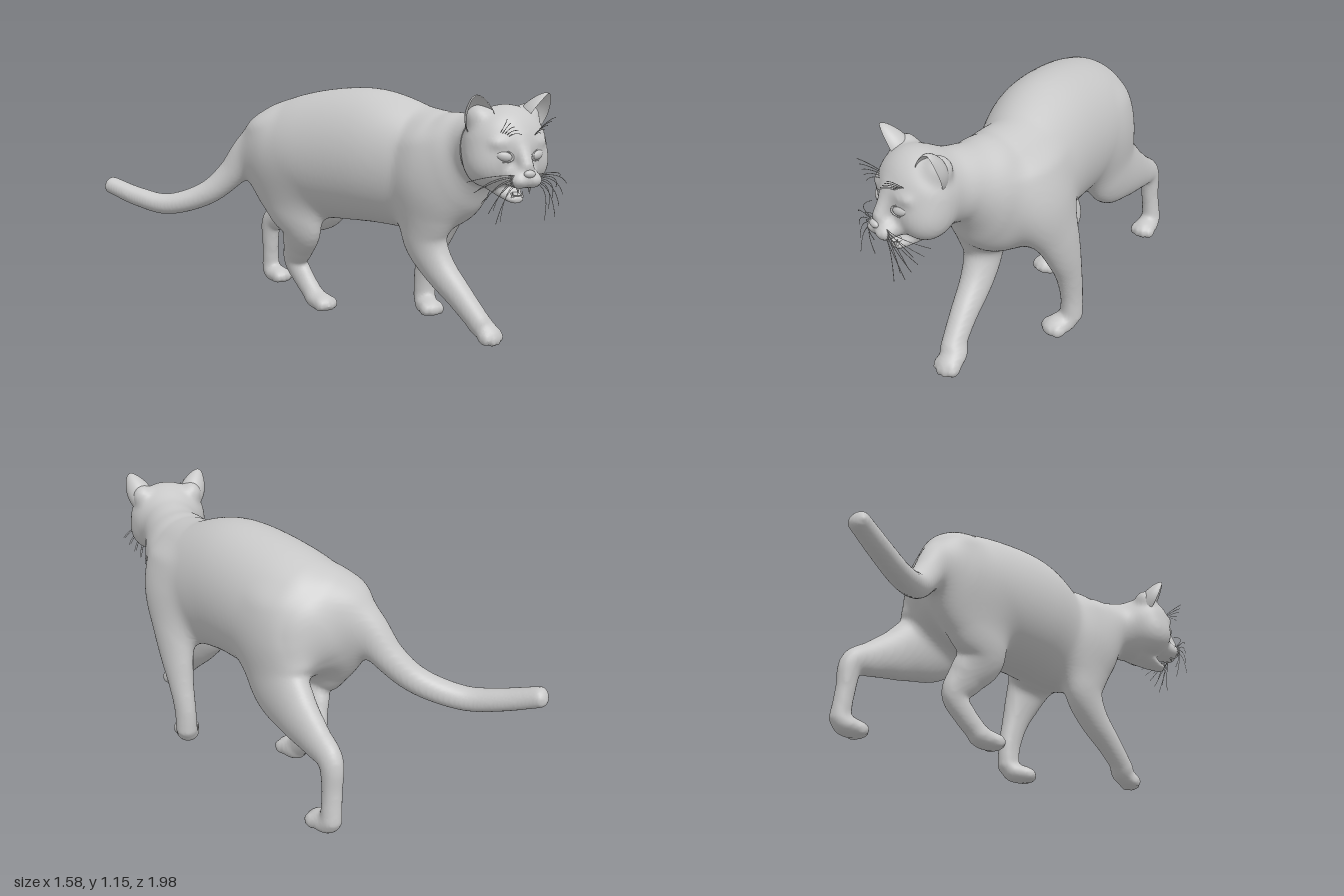
import * as THREE from 'three';

const V = (x, y, z) => new THREE.Vector3(x, y, z);
const fur = new THREE.MeshStandardMaterial({ color: 0xc8c8c8, side: THREE.DoubleSide });
fur.name = 'greyFur';

const ACROSS = V(0.9, 0, -0.43).normalize(); // sideways axis of the angled body
const HEAD_X = 0.555;

// One flesh volume: an oriented ellipsoid
function blob(x, y, z, rx, ry, rz, rotX = 0, rotY = 0) {
  const axes = [V(), V(), V()];
  new THREE.Matrix4().makeRotationFromEuler(new THREE.Euler(rotX, rotY, 0, 'YXZ')).extractBasis(...axes);
  return { c: V(x, y, z), axes, r: [rx, ry, rz] };
}

// A limb: overlapping ellipsoids swept along sections [x, y, z, halfWidth, halfHeight]
function limb(sections, side = ACROSS) {
  const path = new THREE.CatmullRomCurve3(sections.map(s => V(s[0], s[1], s[2])), false, 'catmullrom', 0.5);
  const size = new THREE.CatmullRomCurve3(sections.map(s => V(s[3], s[4], 0)), false, 'catmullrom', 0.5);
  const count = Math.ceil(path.getLength() / 0.011);
  return Array.from({ length: count + 1 }, (_, i) => {
    const t = i / count, tan = path.getTangent(t), r = size.getPoint(t);
    const up = tan.clone().cross(side).normalize();
    return { c: path.getPoint(t), axes: [up.clone().cross(tan), up, tan], r: [r.x, r.y, Math.min(r.x, r.y) * 0.65] };
  });
}

const paw = (x, z, yaw, y = 0.043, pitch = 0) => {
  const turn = new THREE.Euler(pitch, yaw, 0, 'YXZ');
  const at = (a, b, c) => V(a, b, c).applyEuler(turn).add(V(x, y, z)).toArray();
  return [blob(x, y, z, 0.057, 0.046, 0.083, pitch, yaw),
    ...[-1.5, -0.5, 0.5, 1.5].map(k =>
      blob(...at(k * 0.028, -0.008, 0.06 - Math.abs(k) * 0.014), 0.021, 0.033, 0.038, pitch, yaw))];
};

// Melts the parts together on a grid and wraps one smooth skin around them
function skin(parts) {
  const h = 0.011, lo = [-0.9, -0.1, -1.1], n = [164, 124, 200], step = [1, n[0], n[0] * n[1]];
  const field = new Float32Array(n[0] * n[1] * n[2]).fill(1), own = new Float32Array(field.length);
  for (const { blend, blobs } of parts) {
    own.fill(1);
    for (const { c, axes, r } of blobs) {
      const reach = Math.max(...r) + 0.09, m = c.toArray(), small = Math.min(...r);
      const from = m.map((v, a) => Math.max(0, Math.floor((v - reach - lo[a]) / h)));
      const to = m.map((v, a) => Math.min(n[a] - 1, Math.ceil((v + reach - lo[a]) / h)));
      const [A, B, C] = axes;
      for (let k = from[2]; k <= to[2]; k++) for (let j = from[1]; j <= to[1]; j++) for (let i = from[0]; i <= to[0]; i++) {
        const x = lo[0] + i * h - c.x, y = lo[1] + j * h - c.y, z = lo[2] + k * h - c.z;
        const u = (x * A.x + y * A.y + z * A.z) / r[0], v = (x * B.x + y * B.y + z * B.z) / r[1];
        const w = (x * C.x + y * C.y + z * C.z) / r[2], k0 = Math.sqrt(u * u + v * v + w * w);
        const p = u / r[0], q = v / r[1], s = w / r[2];
        const d = k0 < 0.01 ? -small : k0 * (k0 - 1) / Math.sqrt(p * p + q * q + s * s);
        const id = i + j * step[1] + k * step[2];
        if (d < own[id]) own[id] = d;
      }
    }
    for (let id = 0; id < field.length; id++) {
      const g = Math.max(blend - Math.abs(field[id] - own[id]), 0);
      field[id] = Math.min(field[id], own[id]) - g * g / (4 * blend);
    }
  }
  // One vertex in every cell the surface crosses
  const vert = new Int32Array(field.length).fill(-1), corner = [], quads = [];
  let pos = [];
  for (let b = 0; b < 8; b++) corner.push([b & 1, (b >> 1) & 1, b >> 2]);
  for (let k = 0; k < n[2] - 1; k++) for (let j = 0; j < n[1] - 1; j++) for (let i = 0; i < n[0] - 1; i++) {
    const id = i + j * step[1] + k * step[2];
    const f = corner.map(o => field[id + o[0] + o[1] * step[1] + o[2] * step[2]]);
    const inside = f.filter(v => v < 0).length;
    if (inside === 0 || inside === 8) continue;
    const sum = [0, 0, 0];
    let hits = 0;
    for (let b = 0; b < 8; b++) for (let a = 0; a < 3; a++) {
      const e = b | (1 << a);
      if (e === b || (f[b] < 0) === (f[e] < 0)) continue;
      const t = f[b] / (f[b] - f[e]);
      hits++;
      for (let q = 0; q < 3; q++) sum[q] += corner[b][q] + (q === a ? t : 0);
    }
    vert[id] = pos.length / 3;
    [i, j, k].forEach((v, a) => pos.push(lo[a] + h * (v + sum[a] / hits)));
    for (let a = 0; a < 3; a++) {
      const sb = step[(a + 1) % 3], sc = step[(a + 2) % 3];
      if ((f[0] < 0) === (f[1 << a] < 0)) continue;
      const quad = [id - sb - sc, id - sc, id, id - sb].map(cell => vert[cell]);
      quads.push(f[0] < 0 ? quad : quad.reverse());
    }
  }
  // Relax the skin
  for (let pass = 0; pass < 3; pass++) {
    const sum = new Float32Array(pos.length), count = new Float32Array(pos.length / 3);
    for (const q of quads) for (let e = 0; e < 4; e++) {
      const a = q[e], b = q[(e + 1) % 4];
      count[a]++; count[b]++;
      for (let c = 0; c < 3; c++) { sum[a * 3 + c] += pos[b * 3 + c]; sum[b * 3 + c] += pos[a * 3 + c]; }
    }
    pos = pos.map((v, i) => v * 0.5 + 0.5 * sum[i] / count[Math.floor(i / 3)]);
  }
  const g = new THREE.BufferGeometry();
  g.setAttribute('position', new THREE.Float32BufferAttribute(pos, 3));
  g.setIndex(quads.flatMap(([a, b, c, d]) => [a, b, c, a, c, d]));
  g.computeVertexNormals();
  return g;
}

function bodyParts() {
  const X = V(1, 0, 0), H = HEAD_X, both = f => [-1, 1].map(f);
  // Torso from rump to chest: [x, z, top, bottom, halfWidth]
  const torso = limb([
    [0.065, -0.47, 1.0, 0.6, 0.215], [0.09, -0.4, 1.06, 0.53, 0.25], [0.175, -0.25, 1.1, 0.475, 0.268],
    [0.315, 0, 1.125, 0.478, 0.255], [0.445, 0.2, 1.06, 0.468, 0.222], [0.49, 0.35, 1.035, 0.49, 0.205],
    [0.525, 0.46, 1.015, 0.57, 0.17],
  ].map(([x, z, t, b, w]) => [x, (t + b) / 2, z, w, (t - b) / 2]));
  const neck = limb([[0.47, 0.81, 0.22, 0.14, 0.17], [0.53, 0.845, 0.45, 0.165, 0.185],
    [0.55, 0.885, 0.58, 0.145, 0.158], [H, 0.9, 0.7, 0.145, 0.157]], V(0.98, 0, -0.2).normalize());
  const tail = limb([
    [0.03, 0.9, -0.43, 0.11, 0.11], [-0.11, 0.8, -0.515, 0.085, 0.092], [-0.21, 0.66, -0.585, 0.068, 0.072],
    [-0.33, 0.555, -0.645, 0.06, 0.061], [-0.5, 0.499, -0.735, 0.056, 0.054], [-0.63, 0.527, -0.84, 0.053, 0.05],
    [-0.752, 0.583, -0.955, 0.048, 0.045]], V(0.5, 0, -0.85).normalize());
  // Legs from shoulder or hip to ankle
  const leftFrontLeg = limb([
    [0.59, 0.86, 0.25, 0.09, 0.15], [0.622, 0.72, 0.23, 0.1, 0.155], [0.622, 0.57, 0.155, 0.085, 0.132],
    [0.62, 0.44, 0.105, 0.07, 0.1], [0.612, 0.32, 0.065, 0.057, 0.072], [0.602, 0.19, 0.035, 0.048, 0.061],
    [0.6, 0.075, 0.03, 0.05, 0.056]]);
  const rightFrontLeg = limb([
    [0.415, 0.87, 0.38, 0.09, 0.13], [0.4, 0.72, 0.415, 0.09, 0.14], [0.395, 0.57, 0.39, 0.083, 0.13],
    [0.405, 0.45, 0.375, 0.08, 0.11], [0.442, 0.33, 0.435, 0.071, 0.082], [0.497, 0.21, 0.545, 0.059, 0.063],
    [0.547, 0.105, 0.635, 0.052, 0.052]]);
  const rightHindLeg = limb([
    [-0.04, 0.9, -0.43, 0.115, 0.11], [-0.035, 0.72, -0.395, 0.11, 0.17], [0.01, 0.56, -0.3, 0.095, 0.165],
    [0.04, 0.43, -0.255, 0.077, 0.128], [0.058, 0.32, -0.32, 0.062, 0.095], [0.066, 0.225, -0.374, 0.05, 0.068],
    [0.09, 0.14, -0.318, 0.047, 0.057], [0.115, 0.065, -0.245, 0.048, 0.05]]);
  const leftHindLeg = limb([
    [0.22, 0.86, -0.4, 0.115, 0.13], [0.25, 0.7, -0.42, 0.112, 0.19], [0.245, 0.55, -0.47, 0.097, 0.195],
    [0.205, 0.46, -0.6, 0.08, 0.138], [0.155, 0.395, -0.74, 0.06, 0.09], [0.115, 0.34, -0.845, 0.05, 0.062],
    [0.113, 0.2, -0.867, 0.043, 0.047], [0.12, 0.07, -0.88, 0.046, 0.05]]);
  // Head: skull, cheeks, ear roots, brows, muzzle and open jaw
  const skull = [blob(H, 0.92, 0.775, 0.187, 0.178, 0.148)];
  const cheeks = both(s => blob(H + s * 0.1, 0.845, 0.8, 0.083, 0.085, 0.088));
  const earRoots = both(s => blob(H + s * 0.122, 1.04, 0.755, 0.052, 0.058, 0.058, 0.4));
  const brows = both(s => blob(H + s * 0.085, 0.947, 0.884, 0.046, 0.018, 0.024));
  const bridge = limb([[H, 0.97, 0.885, 0.04, 0.026], [H, 0.91, 0.916, 0.034, 0.03], [H, 0.85, 0.952, 0.031, 0.026]], X);
  const muzzle = [blob(H, 0.808, 0.905, 0.078, 0.05, 0.066)];
  const pads = both(s => blob(H + s * 0.032, 0.796, 0.944, 0.042, 0.034, 0.038));
  const jaw = limb([[H, 0.77, 0.76, 0.095, 0.05], [H, 0.735, 0.815, 0.066, 0.035],
    [H, 0.71, 0.865, 0.043, 0.021], [H, 0.705, 0.885, 0.036, 0.018]], X);

  const part = (blend, ...lists) => lists.map(blobs => ({ blend, blobs }));
  return [
    ...part(0.07, torso, neck, tail, leftFrontLeg, rightFrontLeg, rightHindLeg, leftHindLeg),
    ...part(0.05, skull, cheeks), ...part(0.025, earRoots, brows, bridge, muzzle), ...part(0.012, pads, jaw),
    ...part(0.025, paw(0.59, 0.085, 0), paw(0.57, 0.65, 0.25, 0.073, 0.45), paw(0.13, -0.2, 0.3), paw(0.137, -0.83, 0.4)),
  ];
}

function add(parent, name, geometry) {
  const m = new THREE.Mesh(geometry, fur);
  m.name = name;
  parent.add(m);
  return m;
}

function ball(parent, name, position, scale) {
  const m = add(parent, name, new THREE.SphereGeometry(1, 24, 16));
  m.position.set(...position);
  m.scale.set(...scale);
}

function whisker(parent, name, a, b, c) {
  add(parent, name, new THREE.TubeGeometry(new THREE.QuadraticBezierCurve3(a, b, c), 8, 0.0014, 4));
}

function buildFace() {
  const face = new THREE.Group();
  face.name = 'face';
  face.position.x = HEAD_X;
  ball(face, 'nose', [0, 0.826, 0.971], [0.027, 0.016, 0.015]);
  ball(face, 'tongue', [0, 0.727, 0.868], [0.022, 0.009, 0.035]);
  const earProfile = new THREE.SplineCurve([[0.06, -0.045], [0.064, 0], [0.058, 0.04], [0.044, 0.075],
    [0.027, 0.104], [0.011, 0.12], [0, 0.123]].map(p => new THREE.Vector2(...p))).getPoints(18);

  for (const s of [-1, 1]) {
    const eye = new THREE.Group();
    eye.name = 'eye';
    eye.position.set(s * 0.08, 0.895, 0.896);
    eye.rotation.set(0, s * 0.4, s * 0.2);
    ball(eye, 'eyeball', [0, 0, 0], [0.038, 0.023, 0.022]);
    const lid = add(eye, 'eyelid', new THREE.TorusGeometry(0.039, 0.005, 8, 28));
    lid.scale.y = 0.62;
    lid.position.z = 0.008;
    face.add(eye);
    // Cupped ear, open at the front
    const ear = add(face, 'ear', new THREE.LatheGeometry(earProfile, 24, Math.PI / 2 - 0.3, Math.PI + 0.6));
    ear.position.set(s * 0.131, 1.037, 0.79);
    ear.rotation.set(0.4, s * 0.4, -s * 0.26, 'ZYX');
    // Fangs
    const fang = add(face, 'upperFang', new THREE.ConeGeometry(0.008, 0.034, 8));
    fang.position.set(s * 0.028, 0.752, 0.932);
    fang.rotation.x = Math.PI;
    add(face, 'lowerFang', new THREE.ConeGeometry(0.006, 0.028, 8)).position.set(s * 0.024, 0.73, 0.888);
    // Whiskers on the muzzle and over the eyes
    for (let i = 0; i < 9; i++) {
      const f = i / 8, y = 0.82 - 0.035 * f, reach = 0.2 - 0.11 * f;
      whisker(face, 'whisker', V(s * (0.06 - 0.02 * f), y, 0.95),
        V(s * (0.06 + reach * 0.55), y + 0.012 - 0.03 * f, 0.965),
        V(s * (0.03 + reach), y - 0.03 - 0.14 * f, 0.86 + 0.11 * ((i * 5) % 9) / 8));
    }
    for (let i = 0; i < 5; i++)
      whisker(face, 'browWhisker', V(s * (0.06 + i * 0.008), 0.965 + i * 0.006, 0.885),
        V(s * (0.065 + i * 0.008), 1.0 + i * 0.01, 0.94), V(s * (0.045 + i * 0.018), 0.99 + i * 0.016, 0.97));
  }
  return face;
}

export function createModel() {
  const cat = new THREE.Group();
  cat.name = 'cat';
  add(cat, 'body', skin(bodyParts()));
  cat.add(buildFace());
  return cat;
}
